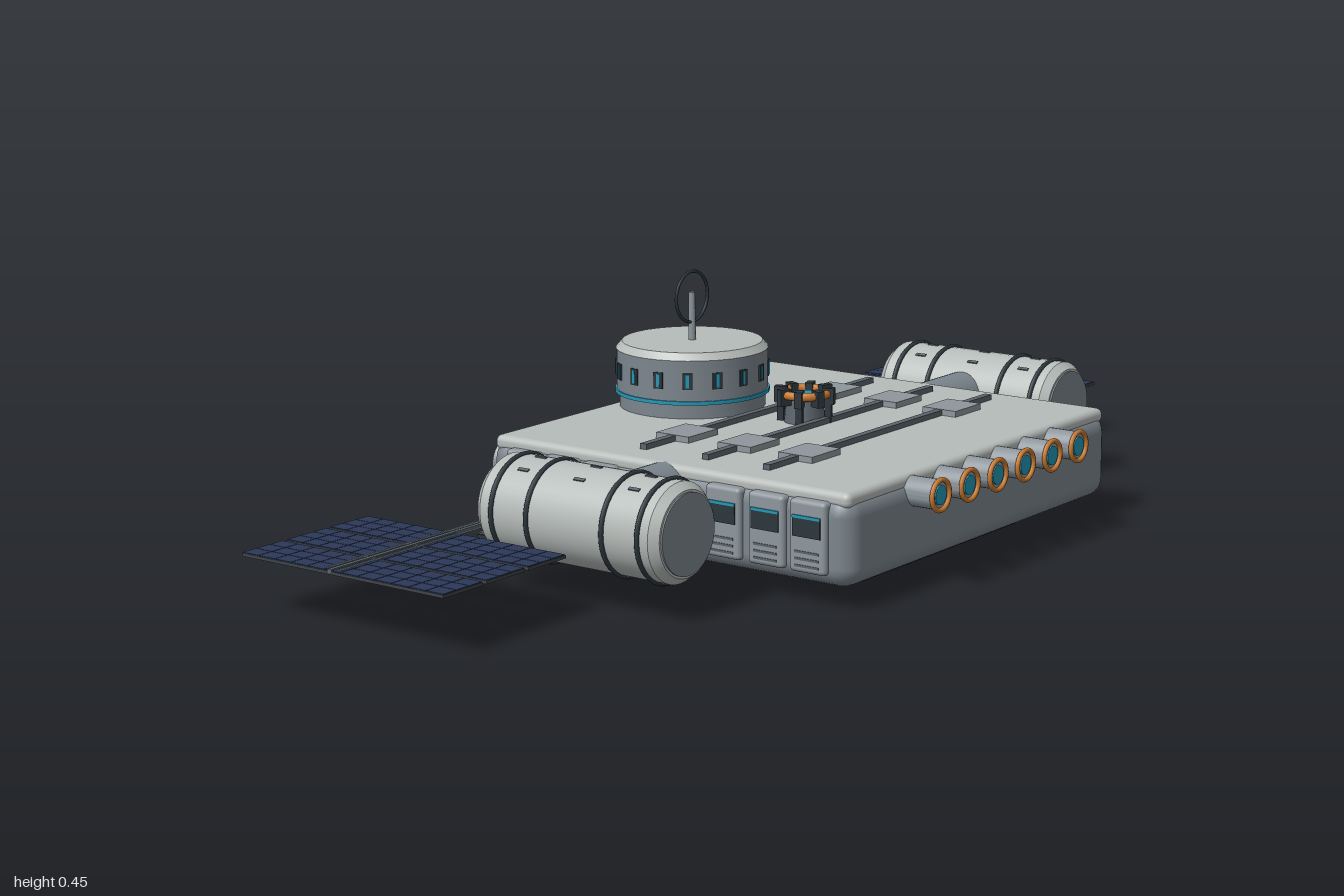
import * as THREE from 'three';
import { toCreasedNormals } from 'three/addons/utils/BufferGeometryUtils.js';
import { RoundedBoxGeometry } from 'three/addons/geometries/RoundedBoxGeometry.js';

const mat = (name, color) => {
  const m = new THREE.MeshStandardMaterial({ color });
  m.name = name;
  return m;
};

export function createModel() {
  const root = new THREE.Group();
  root.name = 'spaceStation';
  const hullGrey = mat('hullGrey', 0x7c868e);
  const paleGrey = mat('paleGrey', 0xb6bcb9);
  const midGrey = mat('midGrey', 0x8e979d);
  const steel = mat('steel', 0x5b656c);
  const dark = mat('darkSlate', 0x2b363c);
  const engineDark = mat('engineSlate', 0x384b55);
  const teal = mat('teal', 0x2397b5);
  const orange = mat('orange', 0xc97a30);
  const navy = mat('solarNavy', 0x2b3858);
  const backing = mat('panelBacking', 0x40464a);

  const add = (parent, name, geo, material, x = 0, y = 0, z = 0) => {
    const m = new THREE.Mesh(geo, material);
    m.name = name;
    m.position.set(x, y, z);
    parent.add(m);
    return m;
  };
  const box = (p, name, w, h, d, material, x, y, z) =>
    add(p, name, new THREE.BoxGeometry(w, h, d), material, x, y, z);
  const rounded = (p, name, w, h, d, r, material, x, y, z) =>
    add(p, name, new RoundedBoxGeometry(w, h, d, 3, r), material, x, y, z);
  // Turned solid from [radius, height] pairs, listed bottom to top
  const turned = (pts, seg = 32) => toCreasedNormals(
    new THREE.LatheGeometry(pts.map(([r, y]) => new THREE.Vector2(r, y)), seg), 0.5);
  const group = (name, parent = root) => {
    const g = new THREE.Group();
    g.name = name;
    parent.add(g);
    return g;
  };

  // Hull, deck and keel
  rounded(root, 'hull', 0.84, 0.157, 0.78, 0.035, hullGrey, 0, 0.1135, 0.03);
  rounded(root, 'deck', 0.825, 0.028, 0.765, 0.012, paleGrey, 0, 0.186, 0.03);
  rounded(root, 'keel', 0.52, 0.06, 0.62, 0.022, dark, 0, 0.03, 0.03);

  // Deck rails with equipment boxes
  for (const z of [-0.065, 0.07, 0.2]) {
    box(root, 'deckRail', 0.7, 0.012, 0.014, steel, 0, 0.204, z);
    for (const x of [-0.225, 0.225])
      box(root, 'railBox', 0.085, 0.014, 0.072, midGrey, x, 0.204, z);
  }

  // Command tower
  const tower = group('tower');
  tower.position.set(0, 0, -0.225);
  add(tower, 'towerBase', turned([[0, 0.19], [0.135, 0.19], [0.135, 0.228], [0, 0.228]]), hullGrey);
  add(tower, 'towerRing', new THREE.CylinderGeometry(0.143, 0.143, 0.007, 40), teal, 0, 0.23, 0);
  add(tower, 'towerWall', turned([[0, 0.233], [0.14, 0.233], [0.14, 0.309], [0, 0.309]]), hullGrey);
  add(tower, 'towerRoof', turned([[0, 0.308], [0.141, 0.308], [0.13, 0.321], [0, 0.321]]), paleGrey);
  for (let i = 0; i < 16; i++) {
    const pivot = group('towerWindow', tower);
    pivot.rotation.y = (i + 0.5) * Math.PI / 8;
    box(pivot, 'windowFrame', 0.018, 0.03, 0.006, dark, 0, 0.27, 0.139);
    box(pivot, 'windowPane', 0.006, 0.024, 0.008, teal, 0, 0.27, 0.1392);
  }
  add(tower, 'mast', new THREE.CylinderGeometry(0.006, 0.007, 0.092, 8), midGrey, 0, 0.364, 0);
  add(tower, 'antennaRing', new THREE.TorusGeometry(0.047, 0.003, 8, 40), dark, 0, 0.401, 0);

  // Docking port on the deck
  const port = group('dockingPort');
  port.position.set(0, 0.198, 0.03);
  add(port, 'portCollar', new THREE.CylinderGeometry(0.032, 0.038, 0.05, 24), steel, 0, 0.025, 0);
  const ring = add(port, 'portRing', new THREE.TorusGeometry(0.042, 0.008, 8, 32), orange, 0, 0.054, 0);
  ring.rotation.x = Math.PI / 2;
  add(port, 'portLens', new THREE.CylinderGeometry(0.02, 0.02, 0.008, 24), teal, 0, 0.051, 0);
  for (let i = 0; i < 8; i++) {
    const pivot = group('portClamp', port);
    pivot.rotation.y = (i + 0.5) * Math.PI / 4;
    box(pivot, 'clamp', 0.014, 0.03, 0.022, dark, 0, 0.05, 0.044);
    if (i % 2 === 0) box(pivot, 'clampLeg', 0.012, 0.04, 0.012, dark, 0, 0.018, 0.044);
  }

  // Row of forward emitters, turned along +z
  for (let i = 0; i < 6; i++) {
    const e = group('frontEmitter');
    e.position.set(-0.225 + i * 0.09, 0.17, 0.4);
    e.rotation.x = Math.PI / 2;
    add(e, 'emitterBarrel', turned([[0, 0], [0.026, 0], [0.026, 0.068], [0, 0.068]], 24), midGrey);
    const rim = add(e, 'emitterRim', new THREE.TorusGeometry(0.0265, 0.0045, 8, 24), orange, 0, 0.07, 0);
    rim.rotation.x = Math.PI / 2;
    add(e, 'emitterLens', new THREE.CylinderGeometry(0.017, 0.017, 0.004, 24), teal, 0, 0.069, 0);
  }

  // Rear engines, turned along -z
  for (const x of [-0.23, 0.23]) {
    const e = group('engine');
    e.position.set(x, 0.1, -0.34);
    e.rotation.x = -Math.PI / 2;
    add(e, 'engineBody', turned([[0, 0], [0.054, 0], [0.054, 0.104], [0, 0.104]]), engineDark);
    add(e, 'engineBell', turned([[0.038, 0.1], [0.051, 0.133], [0.045, 0.135], [0.036, 0.115]]), midGrey);
    add(e, 'engineGlow', new THREE.CylinderGeometry(0.045, 0.038, 0.03, 32), teal, 0, 0.118, 0);
  }

  for (const s of [-1, 1]) {
    const side = group(s > 0 ? 'leftSide' : 'rightSide');

    // Window modules along the hull
    for (const z of [0.34, 0.255, 0.165, -0.105, -0.19, -0.275]) {
      rounded(side, 'sideModule', 0.03, 0.125, 0.074, 0.008, midGrey, s * 0.415, 0.12, z);
      box(side, 'moduleWindow', 0.006, 0.034, 0.056, dark, s * 0.429, 0.137, z);
      box(side, 'windowLight', 0.007, 0.005, 0.056, teal, s * 0.4295, 0.154, z);
      for (let k = 0; k < 3; k++)
        box(side, 'moduleVent', 0.005, 0.004, 0.048, steel, s * 0.429, 0.07 + k * 0.012, z);
    }

    // Connecting arm and tank
    const arm = add(side, 'tankArm', new THREE.CylinderGeometry(0.054, 0.054, 0.17, 32), hullGrey, s * 0.475, 0.146, 0.025);
    arm.rotation.z = Math.PI / 2;
    const tank = group('tank', side);
    tank.position.set(s * 0.6, 0.144, 0.03);
    tank.rotation.x = Math.PI / 2;
    add(tank, 'tankBody', turned([[0, -0.193], [0.074, -0.193], [0.086, -0.178],
      [0.086, 0.178], [0.074, 0.193], [0, 0.193]], 40), paleGrey);
    for (const d of [-1, 1])
      add(tank, 'tankCap', new THREE.CylinderGeometry(0.07, 0.07, 0.006, 40), hullGrey, 0, d * 0.193, 0);
    for (const z of [0.187, 0.113, -0.047, -0.123]) {
      const band = add(tank, 'tankBand', new THREE.TorusGeometry(0.087, 0.0045, 8, 40), dark, 0, z - 0.03, 0);
      band.rotation.x = Math.PI / 2;
    }
    // Small slots on the upper face of the tank
    for (const z of [-0.085, 0.035, 0.15])
      for (const a of [-0.55, 0, 0.55])
        box(side, 'tankSlot', 0.006, 0.004, 0.022, steel,
          s * 0.6 + Math.sin(a) * 0.086, 0.144 + Math.cos(a) * 0.086, z).rotation.z = -a;

    // Ribbed radiator fins low on the hull
    for (const z of [-0.26, -0.193, -0.126]) {
      box(side, 'radiatorFin', 0.15, 0.006, 0.032, dark, s * 0.475, 0.055, z);
      for (let k = 0; k < 6; k++)
        box(side, 'radiatorRib', 0.009, 0.009, 0.036, steel, s * (0.44 + k * 0.02), 0.056, z);
    }

    // Solar wing: boom, backing strips and cells
    const wing = group('solarWing', side);
    box(wing, 'boom', 0.6, 0.007, 0.008, steel, s * 0.7, 0.104, -0.193);
    for (const dz of [-0.014, 0.014])
      box(wing, 'boomRod', 0.58, 0.003, 0.003, midGrey, s * 0.7, 0.106, -0.193 + dz);
    for (let k = 0; k < 3; k++) {
      const x = 0.748 + k * 0.1025;
      box(wing, 'panelBack', 0.094, 0.005, 0.44, backing, s * x, 0.101, -0.17);
      for (let i = 0; i < 3; i++)
        for (let j = 0; j < 12; j++)
          box(wing, 'solarCell', 0.0296, 0.002, 0.0352, navy,
            s * (x + (i - 1) * 0.031), 0.1042, -0.17 + (j - 5.5) * 0.0366);
    }
  }
  return root;
}
